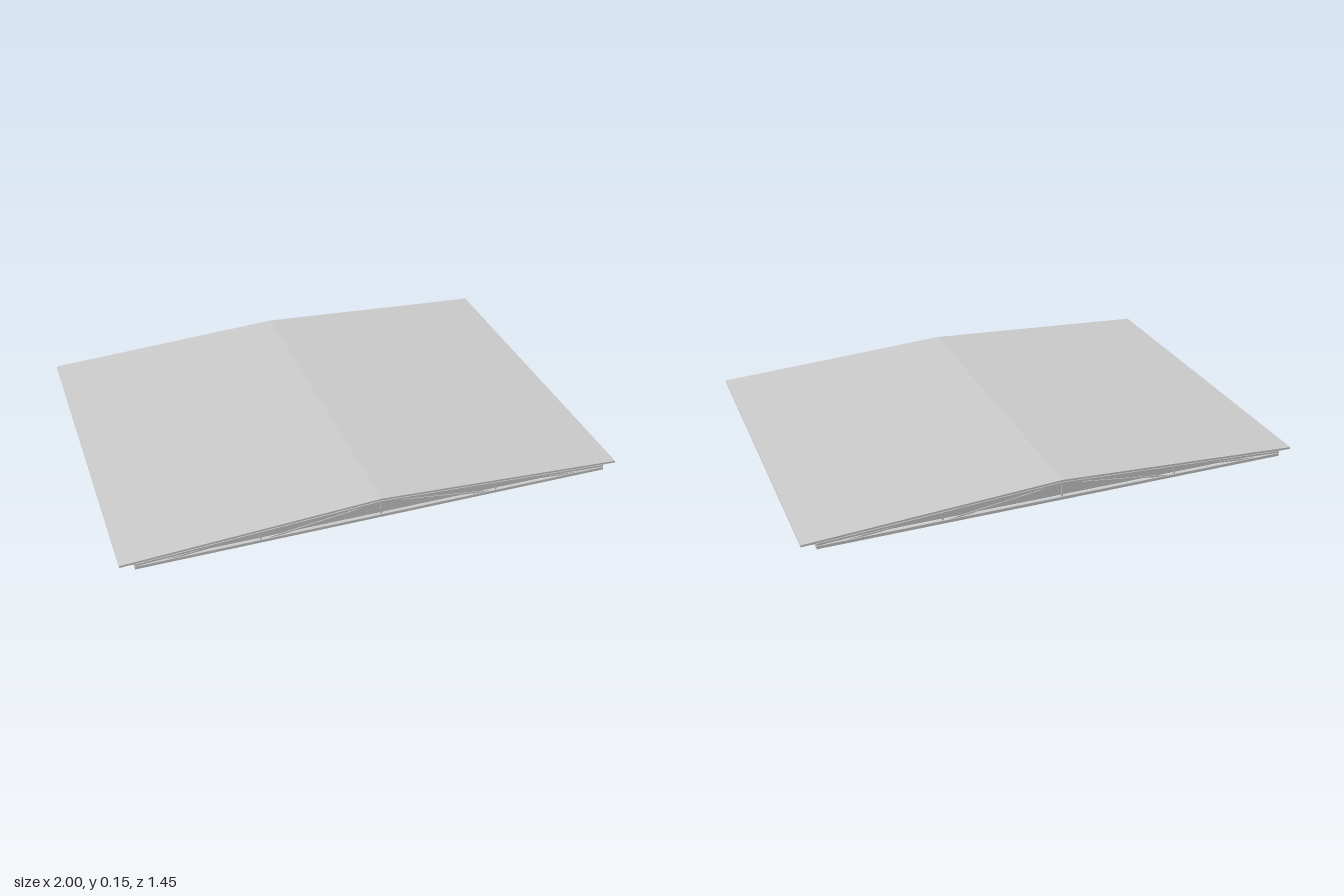
import * as THREE from 'three';

const EAVE = 0.09, RIDGE = 0.146, HALF_X = 1, HALF_Z = 0.722;
const SPAN = 0.945, CHORD_Y = 0.07, BAR = 0.011;
const roofY = (x) => RIDGE - (RIDGE - EAVE) * Math.abs(x) / HALF_X;

export function createModel() {
  const root = new THREE.Group();
  const grey = new THREE.MeshStandardMaterial({ color: 0xcccccc, flatShading: true });
  const thin = new THREE.MeshStandardMaterial({ color: 0xcccccc, flatShading: true, side: THREE.DoubleSide });

  const add = (parent, name, geometry, x = 0, y = 0, z = 0, material = grey) => {
    const mesh = new THREE.Mesh(geometry, material);
    mesh.name = name;
    mesh.position.set(x, y, z);
    parent.add(mesh);
    return mesh;
  };

  // Straight bar between two points in a truss plane
  const bar = (parent, name, x1, y1, x2, y2, height = BAR, depth = BAR) => {
    const length = Math.hypot(x2 - x1, y2 - y1);
    const mesh = add(parent, name, new THREE.BoxGeometry(length, height, depth), (x1 + x2) / 2, (y1 + y2) / 2);
    mesh.rotation.z = Math.atan2(y2 - y1, x2 - x1);
  };

  // Low gabled roof sheet, extruded along z
  const profile = new THREE.Shape([
    [-HALF_X, EAVE], [-HALF_X, EAVE - 0.008], [0, RIDGE - 0.008],
    [HALF_X, EAVE - 0.008], [HALF_X, EAVE], [0, RIDGE],
  ].map(([x, y]) => new THREE.Vector2(x, y)));
  add(root, 'roofSheet', new THREE.ExtrudeGeometry(profile, { depth: 2 * HALF_Z, bevelEnabled: false }), 0, 0, -HALF_Z);

  // Triangular end panels under the roof
  const gable = new THREE.Shape([
    [-HALF_X, EAVE - 0.008], [HALF_X, EAVE - 0.008], [0, RIDGE - 0.004],
  ].map(([x, y]) => new THREE.Vector2(x, y)));
  for (const side of [-1, 1]) {
    add(root, 'gablePanel', new THREE.ShapeGeometry(gable), 0, 0, side * (HALF_Z - 0.002), thin);
  }

  // Trusses: bottom chord, rafters, posts and diagonals
  for (const z of [-0.72, -0.5, -0.167, 0.167, 0.5, 0.72]) {
    const truss = new THREE.Group();
    truss.name = 'roofTruss';
    truss.position.z = z;
    const end = Math.abs(z) > 0.6;
    bar(truss, 'bottomChord', -SPAN, CHORD_Y, SPAN, CHORD_Y, 0.012, end ? 0.014 : BAR);
    bar(truss, 'kingPost', 0, CHORD_Y, 0, roofY(0) - 0.012, 0.006, 0.006);
    for (const s of [-1, 1]) {
      bar(truss, 'rafter', 0, roofY(0) - 0.012, s * SPAN, roofY(SPAN) - 0.012, 0.008);
      bar(truss, 'sidePost', s * 0.475, CHORD_Y, s * 0.475, roofY(0.475) - 0.012, 0.006, 0.006);
      bar(truss, 'diagonal', s * 0.475, CHORD_Y, 0, roofY(0) - 0.016, 0.006, 0.006);
      bar(truss, 'outerDiagonal', s * 0.88, CHORD_Y, s * 0.475, roofY(0.475) - 0.016, 0.006, 0.006);
    }
    root.add(truss);
  }

  // Beams along the two eaves
  for (const side of [-1, 1]) {
    add(root, 'eaveBeam', new THREE.BoxGeometry(0.014, 0.014, 2 * HALF_Z), side * (SPAN - 0.007), CHORD_Y, 0);
  }

  // Rail carrying the hanging box and its short rod
  const BOX_X = 0.22;
  add(root, 'mountingRail', new THREE.BoxGeometry(0.014, 0.012, 1.0), BOX_X, 0.069, 0);
  add(root, 'hangingBox', new THREE.BoxGeometry(0.13, 0.041, 0.09), BOX_X, 0.0445, 0);
  add(root, 'hangingRod', new THREE.CylinderGeometry(0.003, 0.003, 0.026, 8), BOX_X, 0.013, 0);

  return root;
}
